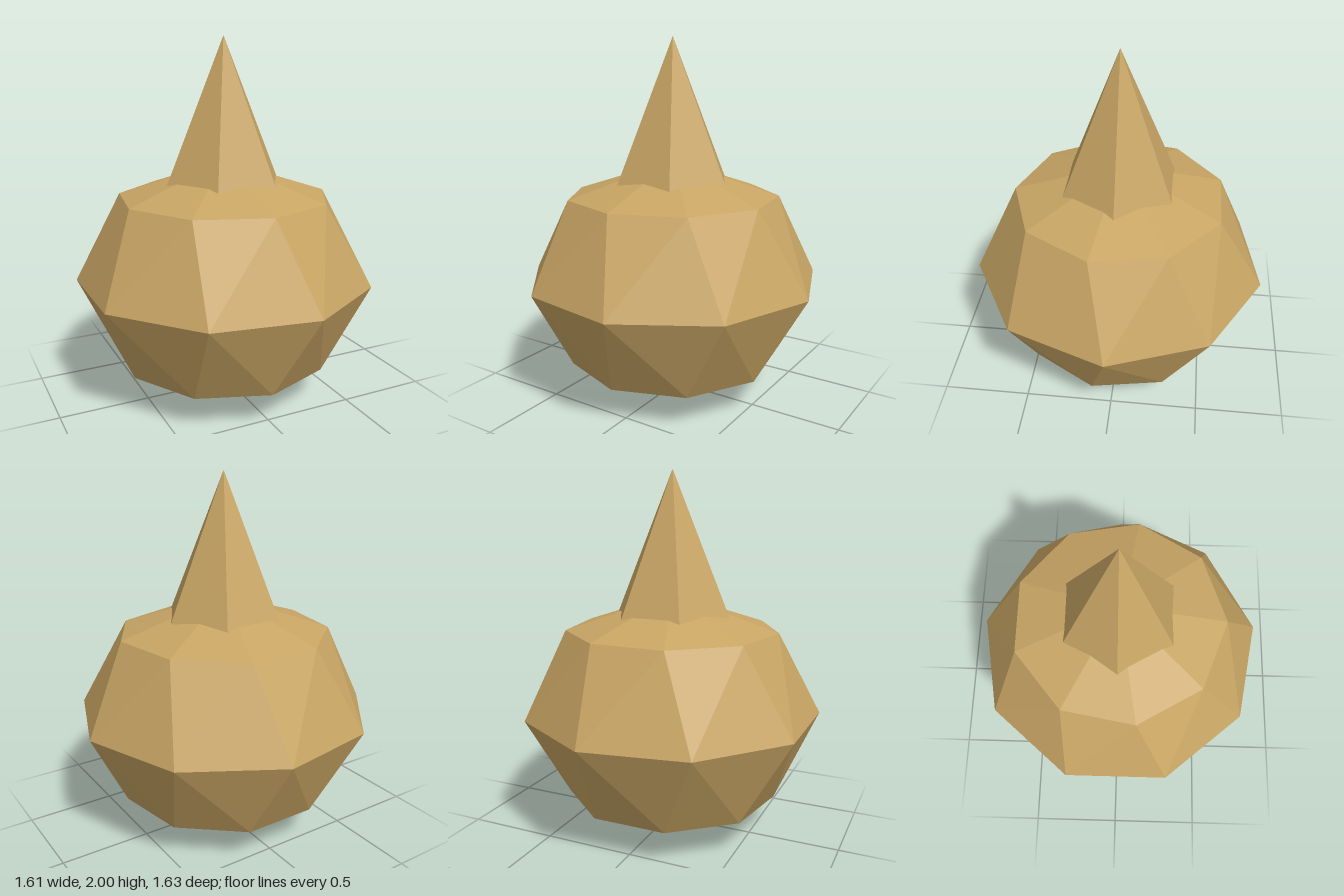
import * as THREE from 'three';

const SIDES = 9;
const CENTER_X = -0.025;

// Faceted bulb: pole, three rings (the outer two turned by a quarter step), pole.
function bulbGeometry() {
  const rings = [
    { y: 1.14, r: 0.59, turn: 10 },
    { y: 0.67, r: 0.83, turn: 0 },
    { y: 0.2, r: 0.59, turn: 10 },
  ];
  const pos = [];
  for (const { y, r, turn } of rings) {
    for (let k = 0; k < SIDES; k++) {
      const a = THREE.MathUtils.degToRad(turn + (k * 360) / SIDES);
      pos.push(r * Math.cos(a), y, r * Math.sin(a));
    }
  }
  pos.push(0, 1.335, 0, 0, 0.005, 0);
  const top = 3 * SIDES, bottom = top + 1;

  const index = [];
  for (let k = 0; k < SIDES; k++) {
    const n = (k + 1) % SIDES;
    const u = k, un = n;
    const m = SIDES + k, mn = SIDES + n;
    const l = 2 * SIDES + k, ln = 2 * SIDES + n;
    index.push(top, un, u); // crown
    index.push(u, un, mn, u, mn, m); // upper band
    index.push(l, m, mn, l, mn, ln); // lower band
    index.push(bottom, l, ln); // underside
  }
  const g = new THREE.BufferGeometry();
  g.setAttribute('position', new THREE.Float32BufferAttribute(pos, 3));
  g.setIndex(index);
  const flat = g.toNonIndexed();
  flat.computeVertexNormals();
  return flat;
}

export function createModel() {
  const group = new THREE.Group();
  group.name = 'spikedBulb';

  const tan = new THREE.MeshStandardMaterial({ color: 0xc8a564 });
  tan.name = 'tan';
  tan.flatShading = true;

  const bulb = new THREE.Mesh(bulbGeometry(), tan);
  bulb.name = 'bulb';
  bulb.position.x = CENTER_X;
  group.add(bulb);

  // Six-sided spike, its base sunk into the crown
  const spike = new THREE.Mesh(
    new THREE.ConeGeometry(0.387, 0.9, 6, 1, false, Math.PI / 6),
    tan
  );
  spike.name = 'spike';
  spike.position.set(CENTER_X, 1.55, 0);
  group.add(spike);

  return group;
}
